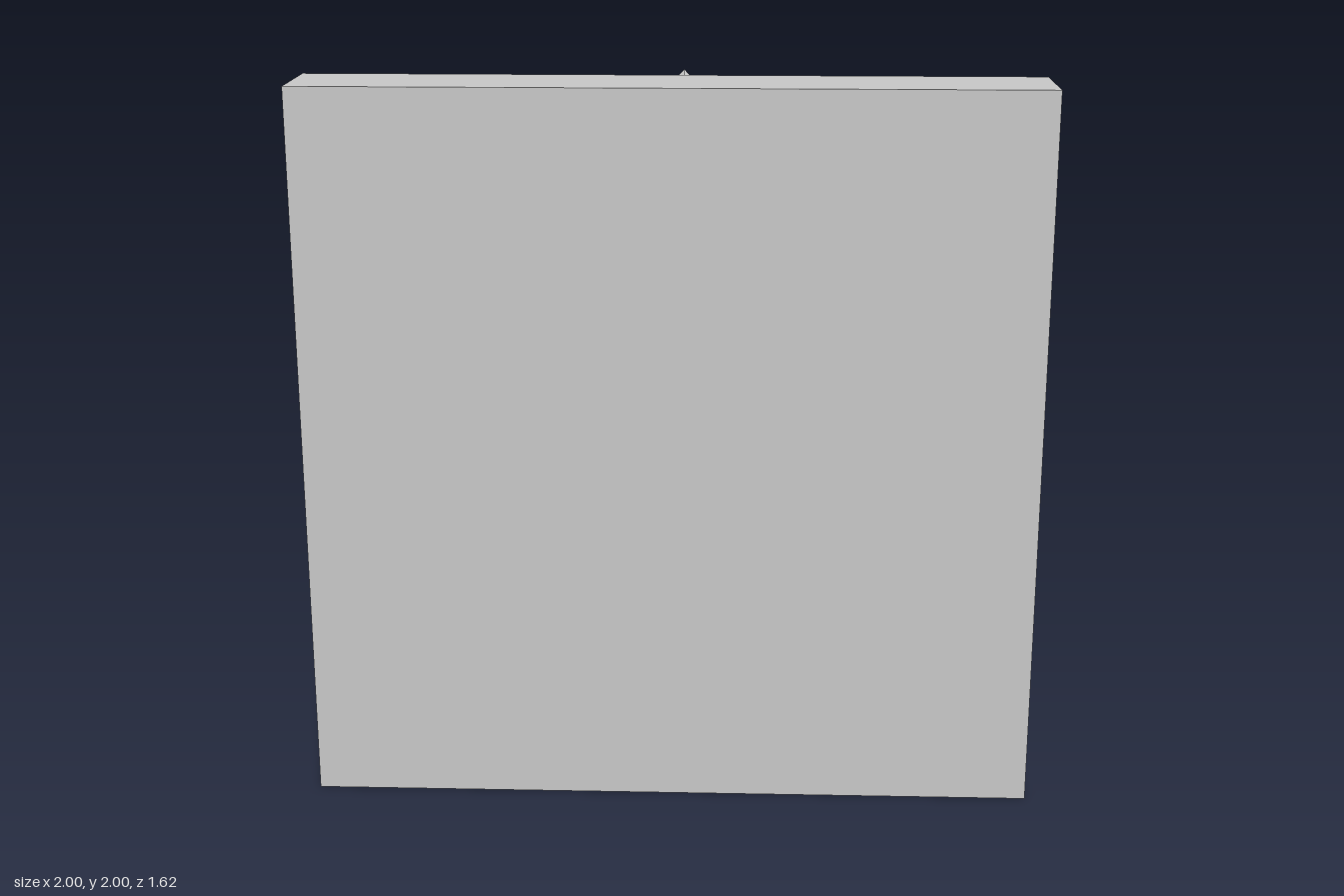
import * as THREE from 'three';

export function createModel() {
  const model = new THREE.Group();
  const grey = new THREE.MeshStandardMaterial({ color: 0xc8c8c8 });
  grey.name = 'light grey';

  const add = (geometry, name, x, y, z) => {
    const mesh = new THREE.Mesh(geometry, grey);
    mesh.name = name;
    mesh.position.set(x, y, z);
    model.add(mesh);
  };

  // Stepped square plates closing the front
  add(new THREE.BoxGeometry(2, 2, 0.25), 'basePlate', 0, 1, 0.685);
  add(new THREE.BoxGeometry(1.77, 1.77, 0.12), 'stepPlate', 0, 1, 0.505);

  // Hollow sixteen-sided collar: [corner radius, z] from the rear rim forwards
  const sides = 16;
  const outer = [
    [0.58, -0.81], [0.675, -0.75], [0.765, -0.67], [0.765, -0.585],
    [0.703, -0.53], [0.703, -0.125], [0.773, -0.07], [0.773, 0.02],
    [0.662, 0.1], [0.69, 0.25], [0.773, 0.33], [0.773, 0.45],
  ];
  // The inside follows the outside and turns in to a narrower lip at the rim
  const inner = outer.slice(1).map(([r, z]) => [r - 0.02, z]).reverse();
  const profile = [...inner, [0.515, -0.81], ...outer];
  let collar = new THREE.LatheGeometry(
    profile.map(([r, z]) => new THREE.Vector2(r, z)), sides, Math.PI / sides);
  collar.rotateX(Math.PI / 2);
  collar = collar.toNonIndexed();
  collar.computeVertexNormals(); // one normal per facet
  add(collar, 'collar', 0, 1, 0);

  // Eight studs around the collar, all upright and partly sunk in the wall
  const stud = new THREE.OctahedronGeometry(0.14);
  for (let i = 0; i < 8; i++) {
    const a = (i * Math.PI) / 4;
    add(stud, 'stud', 0.757 * Math.cos(a), 1 + 0.757 * Math.sin(a), -0.33);
  }
  return model;
}
